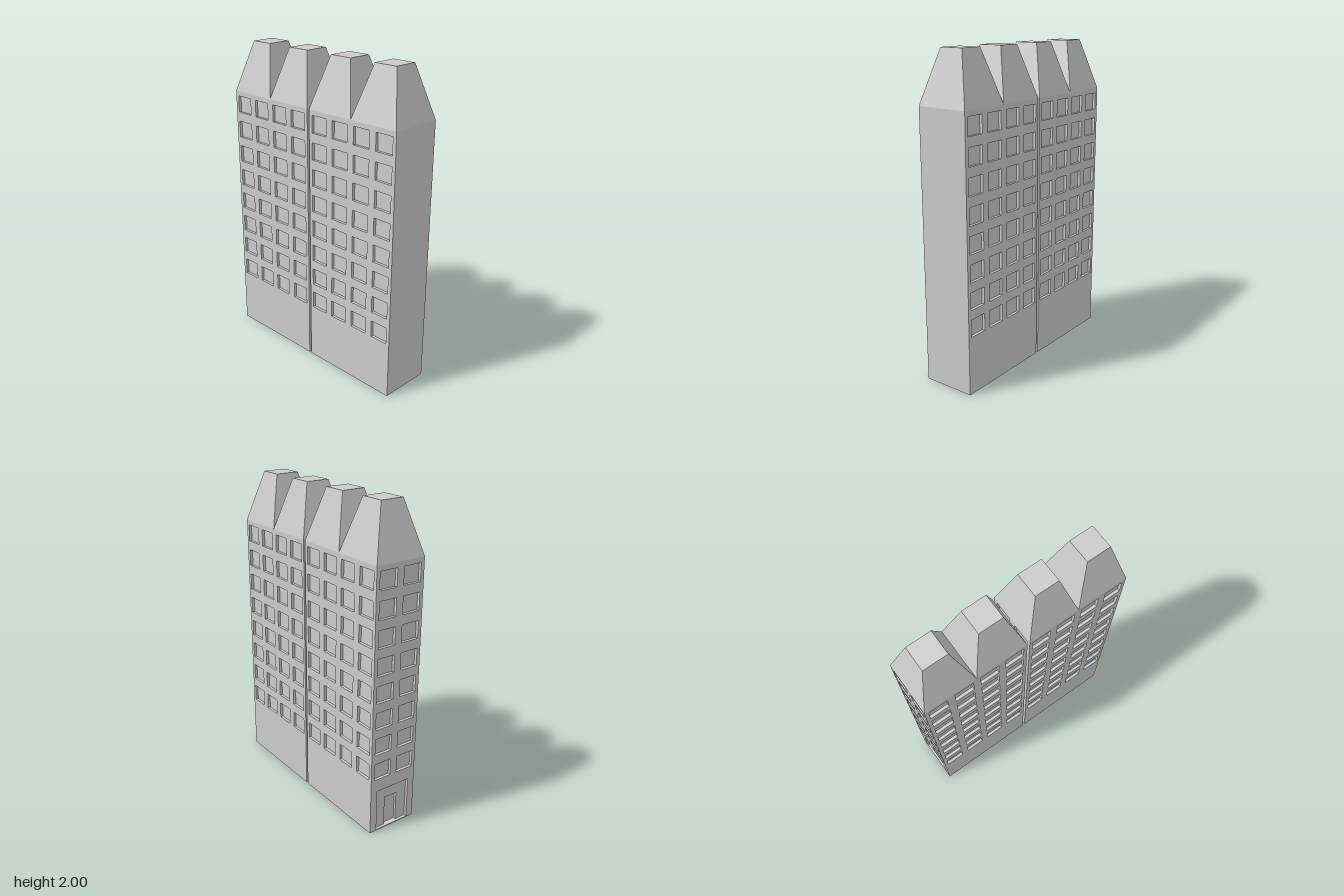
import * as THREE from 'three';

const W = 0.336;      // block width (x)
const L = 0.672;      // block length (z)
const H = 1.68;       // wall height
const ROOF = 0.32;    // roof height
const D = 0.018;      // window recess depth
const DOOR_D = 0.015; // extra depth of the inner door
const PITCH = 0.168;  // window spacing, both ways

const material = new THREE.MeshStandardMaterial({ color: 0xcccccc, flatShading: true });

function part(name, geometry, x = 0, y = 0, z = 0, turn = 0) {
  const mesh = new THREE.Mesh(geometry, material);
  mesh.name = name;
  mesh.position.set(x, y, z);
  mesh.rotation.y = turn;
  return mesh;
}

function rectangle(target, x0, y0, x1, y1) {
  target.moveTo(x0, y0);
  target.lineTo(x1, y0);
  target.lineTo(x1, y1);
  target.lineTo(x0, y1);
  target.closePath();
  return target;
}

// Wall slab with rectangular openings, outer face at +depth
function wall(width, depth, openings) {
  const shape = rectangle(new THREE.Shape(), -width / 2, 0, width / 2, H);
  for (const o of openings) shape.holes.push(rectangle(new THREE.Path(), ...o));
  return new THREE.ExtrudeGeometry(shape, { depth, bevelEnabled: false });
}

// Regular grid of window openings, eight floors high
function windows(columns) {
  const list = [];
  for (let c = 0; c < columns; c++) {
    const x = (c - (columns - 1) / 2) * PITCH;
    for (let r = 0; r < 8; r++) {
      const y = 0.418 + r * PITCH;
      list.push([x - 0.06, y - 0.054, x + 0.06, y + 0.054]);
    }
  }
  return list;
}

function createBlock(name) {
  const block = new THREE.Group();
  block.name = name;
  const innerW = W - 2 * D;

  // Solid core behind the walls; its front is the blank gable
  const coreL = L - D - DOOR_D;
  block.add(part('core', new THREE.BoxGeometry(innerW, H, coreL), 0, H / 2, (D + DOOR_D) / 2));

  // Long side walls with four columns of windows
  const side = wall(L, D, windows(4));
  block.add(part('rightWall', side, innerW / 2, 0, 0, Math.PI / 2));
  block.add(part('leftWall', side, -innerW / 2, 0, 0, -Math.PI / 2));

  // Back wall with windows and entrance, and the layer holding the inner door
  const entrance = [-0.12, 0.006, 0.12, 0.28];
  block.add(part('backWall', wall(innerW, D, [...windows(2), entrance]), 0, 0, -L / 2 + D, Math.PI));
  block.add(part('doorWall', wall(innerW, DOOR_D, [[-0.045, 0.006, 0.045, 0.2]]),
    0, 0, -L / 2 + D + DOOR_D, Math.PI));

  // Two truncated pyramid roofs
  const roof = new THREE.CylinderGeometry(0.077 * Math.SQRT2, (W / 2) * Math.SQRT2, ROOF, 4, 1, false, Math.PI / 4);
  for (const s of [-1, 1]) block.add(part('roof', roof, 0, H + ROOF / 2, s * L / 4));
  return block;
}

export function createModel() {
  const model = new THREE.Group();
  model.name = 'rowBuilding';
  // Two equal blocks with a narrow gap between them
  for (const [name, s] of [['frontBlock', 1], ['backBlock', -1]]) {
    const block = createBlock(name);
    block.position.z = s * (L / 2 + 0.008);
    model.add(block);
  }
  return model;
}
